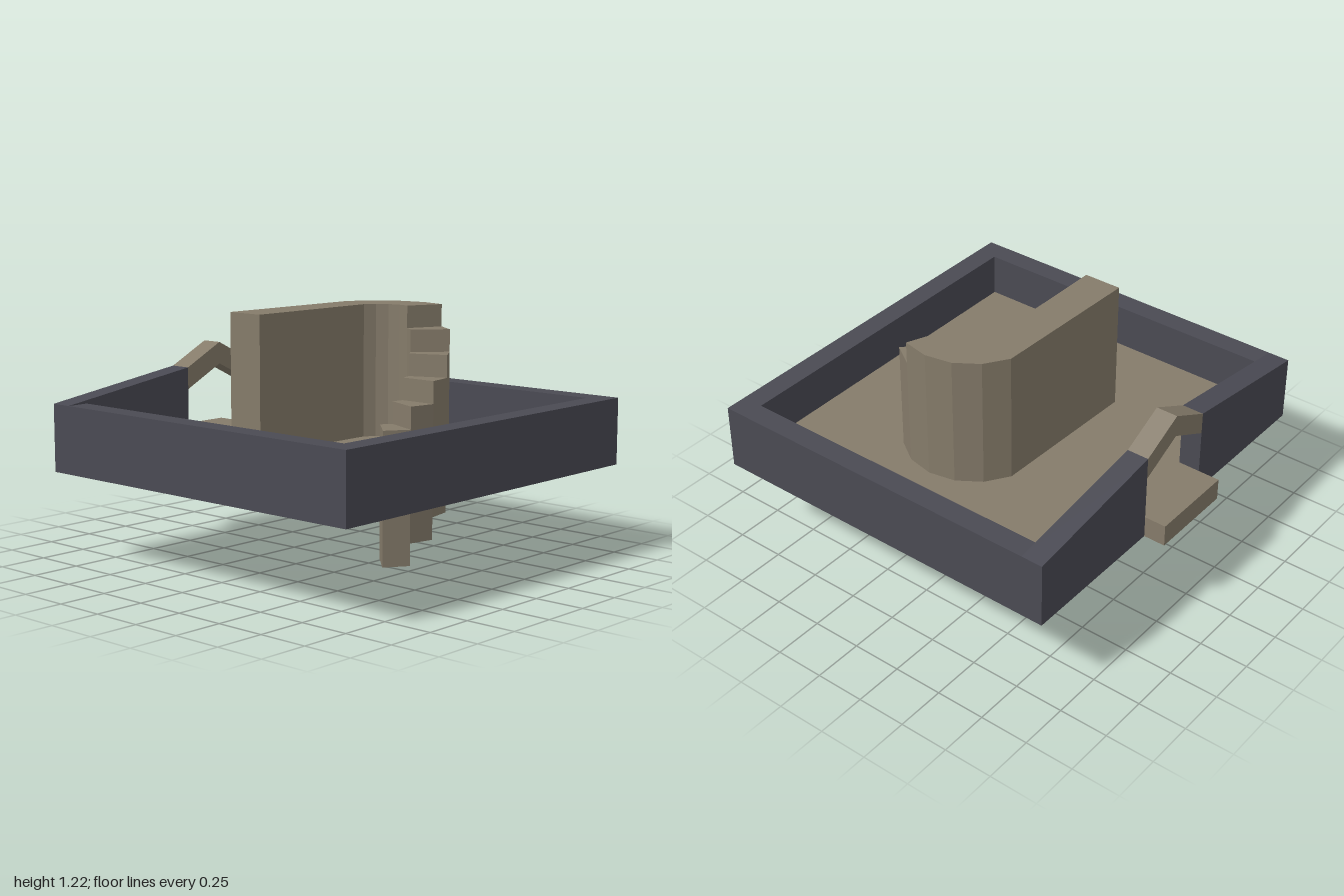
import * as THREE from 'three';

const U = 1 / 9; // one step height, the module of the whole building

export function createModel() {
  const root = new THREE.Group();
  root.name = 'courtyardWithStair';
  const sandstone = new THREE.MeshStandardMaterial({ color: 0x857b6a });
  sandstone.name = 'sandstone';
  const slate = new THREE.MeshStandardMaterial({ color: 0x4a4a53 });
  slate.name = 'slate';

  const shapeOf = (points) => new THREE.Shape(points.map(([a, b]) => new THREE.Vector2(a, b)));
  const add = (name, geometry, material, parent = root) => {
    const mesh = new THREE.Mesh(geometry, material);
    mesh.name = name;
    parent.add(mesh);
  };
  // Plan outline (x, z) raised from bottom to top
  const plan = (points, bottom, top) =>
    new THREE.ExtrudeGeometry(shapeOf(points), { depth: top - bottom, bevelEnabled: false })
      .rotateX(Math.PI / 2).translate(0, top, 0);
  // Side outline (z, y) given the thickness of the gate wall
  const side = (points) =>
    new THREE.ExtrudeGeometry(shapeOf(points), { depth: U, bevelEnabled: false })
      .rotateY(-Math.PI / 2).translate(-7 * U, 0, 0);

  // Floor slab with the doorstep projecting through the gate
  add('floor', plan([
    [-7 * U, -8 * U], [8 * U, -8 * U], [8 * U, 8 * U], [-7 * U, 8 * U],
    [-7 * U, 2 * U], [-1, 2 * U], [-1, -2 * U], [-7 * U, -2 * U],
  ], 4 * U, 5 * U), sandstone);

  // Three level walls
  add('perimeterWall', plan([
    [-7 * U, -1], [1, -1], [1, 1], [-7 * U, 1],
    [-7 * U, 8 * U], [8 * U, 8 * U], [8 * U, -8 * U], [-7 * U, -8 * U],
  ], 4 * U, 7 * U), slate);

  // Gate wall halves rising toward the opening
  for (const s of [-1, 1]) {
    add(s < 0 ? 'gateWallBack' : 'gateWallFront', side([
      [s, 4 * U], [s, 7 * U], [s * 2 * U, 8 * U], [s * 2 * U, 4 * U],
    ]), slate);
  }

  // Peaked lintel over the gate
  add('gateLintel', side([
    [-2 * U, 7 * U], [0, 8 * U], [2 * U, 7 * U],
    [2 * U, 8 * U], [0, 9 * U], [-2 * U, 8 * U],
  ]), sandstone);

  // Winding stair: wedges climbing around a centre, passing through the floor
  const polar = (radius, i) => {
    const a = Math.PI / 4 - (i * Math.PI) / 8;
    return [U + radius * Math.cos(a), -2 * U + radius * Math.sin(a)];
  };
  const inner = 0.16, outer = 0.353;
  const stair = new THREE.Group();
  stair.name = 'windingStair';
  root.add(stair);
  for (let i = 0; i < 5; i++) {
    add('step' + (i + 1), plan([
      polar(inner, i), polar(outer, i), polar(outer, i + 1), polar(inner, i + 1),
    ], i * U, (i + 6) * U), sandstone, stair);
  }

  // Tall landing: finishes the curve, then runs straight to the front
  const outerArc = [], innerArc = [];
  for (let i = 5; i <= 9; i++) {
    outerArc.push(polar(outer, i));
    innerArc.unshift(polar(inner, i));
  }
  add('landing', plan(
    [...outerArc, [-0.242, 0.442], [-0.047, 0.442], ...innerArc], 4.5 * U, 11 * U,
  ), sandstone, stair);

  return root;
}
